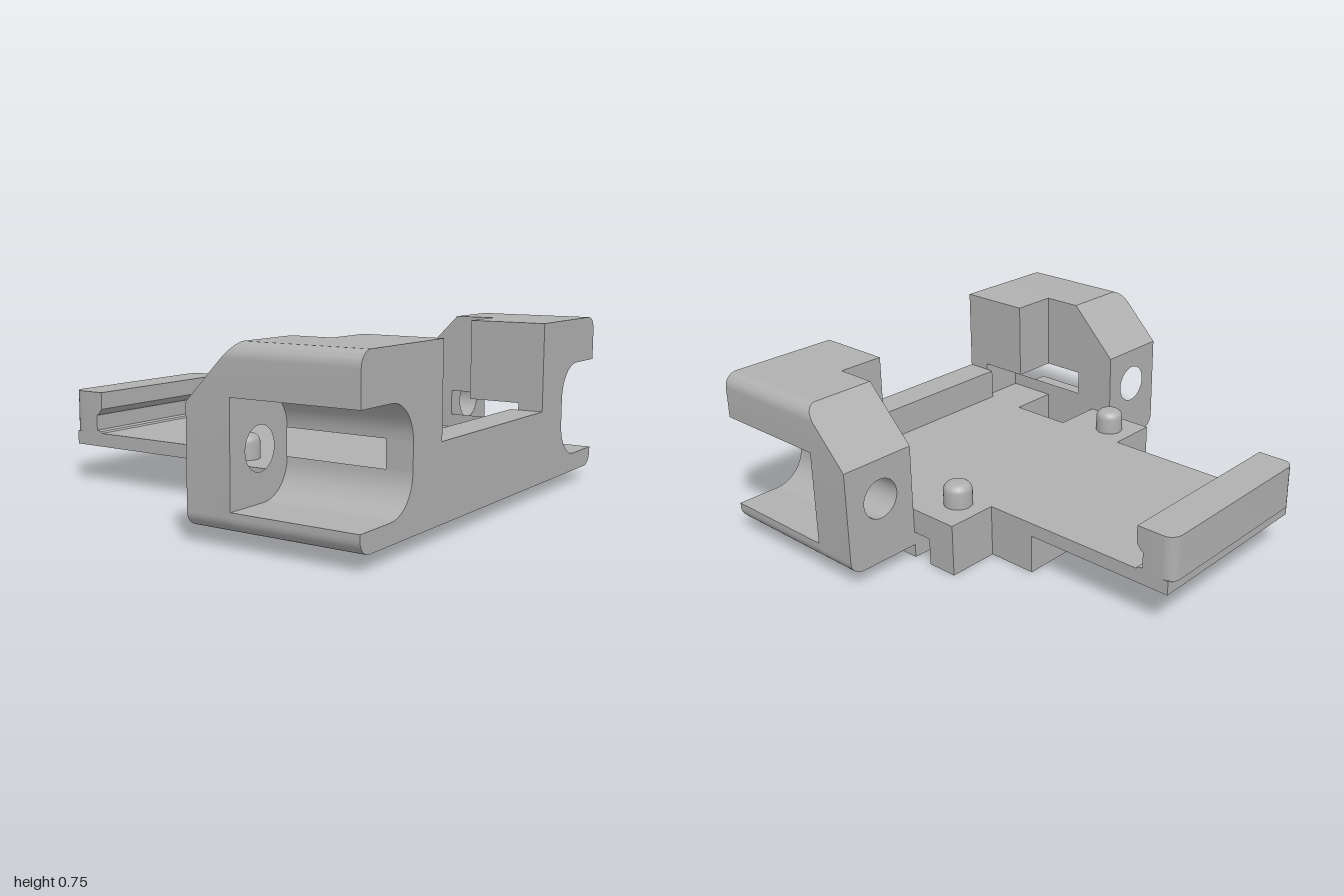
import * as THREE from 'three';
import { toCreasedNormals } from 'three/addons/utils/BufferGeometryUtils.js';

export function createModel() {
  const model = new THREE.Group();
  model.name = 'sensorBracket';
  const grey = new THREE.MeshStandardMaterial({ color: 0xb0b0b0 });
  grey.name = 'plainGrey';

  const add = (name, geo) => {
    const mesh = new THREE.Mesh(toCreasedNormals(geo, 0.5), grey);
    mesh.name = name;
    model.add(mesh);
    return mesh;
  };
  const box = (name, x0, x1, y0, y1, z0, z1) =>
    add(name, new THREE.BoxGeometry(x1 - x0, y1 - y0, z1 - z0)
      .translate((x0 + x1) / 2, (y0 + y1) / 2, (z0 + z1) / 2));
  const arc = (cx, cy, r, a0, a1, n = 10) => Array.from({ length: n + 1 }, (_, i) => {
    const a = THREE.MathUtils.degToRad(a0 + (a1 - a0) * i / n);
    return [cx + r * Math.cos(a), cy + r * Math.sin(a)];
  });
  const toShape = (pts, sx = 1) => new THREE.Shape(pts.map(([x, y]) => new THREE.Vector2(x * sx, y)));
  const extrude = (shape, depth) =>
    new THREE.ExtrudeGeometry(shape, { depth, bevelEnabled: false, curveSegments: 24 });

  // Front outline pushed along z; the rear end leans forward above y = 0.52
  const alongZ = (name, shape, z0, z1) => {
    const geo = extrude(shape, z1 - z0).translate(0, 0, z0);
    const p = geo.attributes.position;
    for (let i = 0; i < p.count; i++) {
      if (z0 < 0.22 && p.getZ(i) < z0 + 0.001 && p.getY(i) > 0.52) {
        p.setZ(i, z0 + (p.getY(i) - 0.52) * 0.98);
      }
    }
    return add(name, geo);
  };
  // Plan outline given as [x, z], raised from y0 to y1
  const alongY = (name, pts, y0, y1) =>
    add(name, extrude(toShape(pts.map(([x, z]) => [x, -z])), y1 - y0)
      .rotateX(-Math.PI / 2).translate(0, y0, 0));

  // Side clamps, mirrored
  const inX = 0.655;
  for (const [s, side] of [[1, 'left'], [-1, 'right']]) {
    const rear = toShape([[inX, 0.06], ...arc(0.94, 0.12, 0.06, -90, 0), [1, 0.52], [inX, 0.52]], s);
    rear.holes.push(new THREE.Path().absarc(0.825 * s, 0.345, 0.087, 0, Math.PI * 2, true));
    alongZ(side + 'RearWall', rear, 0.21, 0.41);
    alongZ(side + 'RearWallTop',
      toShape([[inX, 0.52], [1, 0.52], [1, 0.55], [inX, 0.55]], s), 0.21, 0.41);
    alongZ(side + 'Roof',
      toShape([[inX, 0.55], [1, 0.55], ...arc(0.94, 0.685, 0.06, 0, 90), [inX, 0.745]], s), 0.21, 0.95);
    alongZ(side + 'UpperFillet',
      toShape([[inX, 0.55], ...arc(0.805, 0.4, 0.15, 180, 90)], s), 0.41, 0.95);
    alongZ(side + 'LowerLip',
      toShape([[inX, 0.06], ...arc(0.94, 0.12, 0.06, -90, 0), [1, 0.14],
        ...arc(0.805, 0.29, 0.15, 270, 180)], s), 0.41, 0.95);
    alongZ(side + 'Pillar',
      toShape([[0.445, 0.4], [inX, 0.4], [inX, 0.745], [0.445, 0.745]], s), 0.61, 0.95);
    alongZ(side + 'PillarFoot',
      toShape([[0.445, 0.06], [inX, 0.06], [inX, 0.4], [0.445, 0.4]], s), 0.84, 0.95);
  }

  // Floor with a rectangular opening on one side
  alongY('floor', [[-inX, 0.21], [inX, 0.21], [inX, 0.95], [-inX, 0.95],
    [-inX, 0.61], [-0.43, 0.61], [-0.43, 0.32], [-inX, 0.32]], 0.06, 0.23);
  alongY('underPlate', [[-inX, 0.21], [inX, 0.21], [inX, 0.49], [-0.43, 0.49],
    [-0.43, 0.32], [-inX, 0.32]], 0, 0.06);
  box('frontBeam', -0.445, 0.445, 0.23, 0.37, 0.805, 0.95);

  // Tray and ribs below it
  box('pinShelf', -inX, inX, 0.12, 0.23, -0.02, 0.21);
  box('wideRib', -inX, inX, 0, 0.12, -0.02, 0.12);
  box('narrowRib', -0.425, 0.425, 0, 0.17, -0.245, -0.02);
  box('tray', -0.425, 0.425, 0.17, 0.23, -0.93, -0.02);

  // Rear clip: rounded back wall and a grooved lip
  alongY('clipWall', [[-0.425, -0.81], ...arc(-0.375, -0.9, 0.05, 180, 270, 6),
    ...arc(0.375, -0.9, 0.05, 270, 360, 6), [0.425, -0.81]], 0.225, 0.415);
  const strip = (name, pts) =>
    add(name, extrude(toShape(pts), 0.85).rotateY(-Math.PI / 2).translate(0.425, 0, 0));
  strip('clipLip', [[-0.81, 0.415], [-0.81, 0.31], [-0.8, 0.315], [-0.78, 0.34], [-0.78, 0.415]]);
  strip('clipFoot', [[-0.81, 0.23], [-0.78, 0.23], [-0.785, 0.238], [-0.81, 0.242]]);

  // Locating pins with rounded tops
  const pin = [[0.062, 0.23], ...arc(0.027, 0.297, 0.035, 0, 90, 6), [0, 0.332]]
    .map(([r, y]) => new THREE.Vector2(r, y));
  for (const x of [-0.52, 0.495]) {
    add('locatingPin', new THREE.LatheGeometry(pin, 32)).position.set(x, 0, 0.105);
  }
  return model;
}
